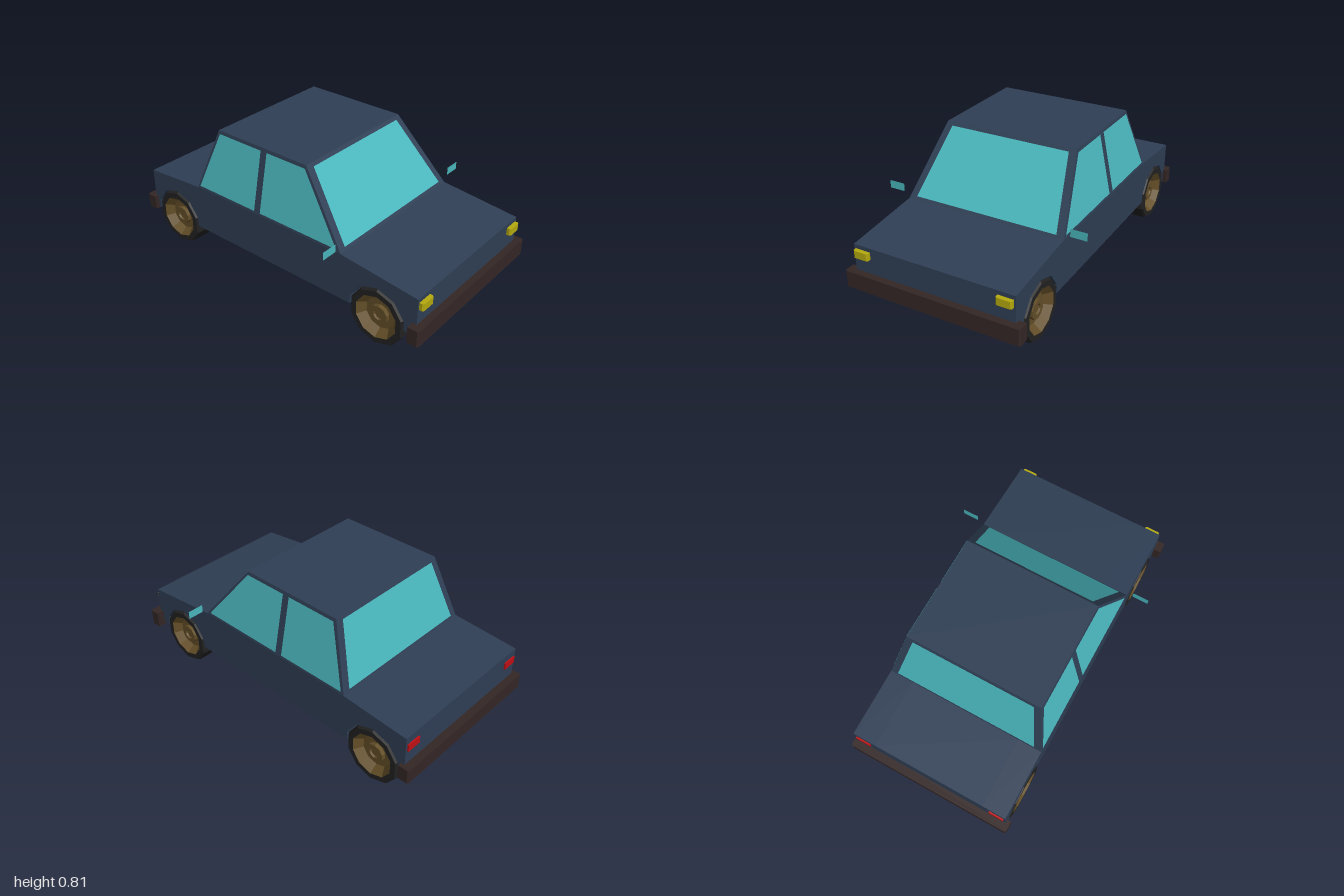
import * as THREE from 'three';

const mat = (name, color, extra = {}) => {
  const m = new THREE.MeshStandardMaterial({ color, flatShading: true, ...extra });
  m.name = name;
  return m;
};

export function createModel() {
  const car = new THREE.Group();
  car.name = 'car';
  const navy = mat('navy paint', 0x2f3f55);
  const glass = mat('teal glass', 0x4ab8be, { side: THREE.DoubleSide });
  const brown = mat('dark brown bumper', 0x342726);
  const yellow = mat('yellow lamp', 0xb5aa0e);
  const red = mat('red lamp', 0xc01015);
  const rubber = mat('black rubber', 0x222223);
  const bronze = mat('bronze rim', 0x644f28);

  const add = (name, geo, material, parent = car) => {
    const mesh = new THREE.Mesh(geo, material);
    mesh.name = name;
    parent.add(mesh);
    return mesh;
  };

  // Lower body: a side profile in (z, y), with optional wheel arches cut from below
  const AXLES = [-0.75, 0.72], AXLE_Y = 0.17;
  const bodySlice = (xMax, width, arches) => {
    const pts = [[-0.955, AXLE_Y]];
    if (arches) {
      for (const z of AXLES) {
        pts.push([z - 0.168, AXLE_Y]);
        for (const deg of [162, 126, 90, 54, 18]) {
          const a = THREE.MathUtils.degToRad(deg);
          pts.push([z + 0.175 * Math.cos(a), AXLE_Y + 0.175 * Math.sin(a)]);
        }
        pts.push([z + 0.168, AXLE_Y]);
      }
    }
    pts.push([0.96, AXLE_Y], [0.96, 0.395], [0.49, 0.445], [-0.555, 0.445], [-0.955, 0.415]);
    const shape = new THREE.Shape(pts.map(([z, y]) => new THREE.Vector2(z, y)));
    return new THREE.ExtrudeGeometry(shape, { depth: width, bevelEnabled: false })
      .rotateY(-Math.PI / 2).translate(xMax, 0, 0);
  };
  add('bodyCentre', bodySlice(0.335, 0.67, false), navy);
  add('bodyLeftSide', bodySlice(0.475, 0.14, true), navy);
  add('bodyRightSide', bodySlice(-0.335, 0.14, true), navy);

  // Cabin: a box tapered towards the roof
  const Y0 = 0.445, Y1 = 0.815;
  const at = (y, low, high) => THREE.MathUtils.lerp(low, high, (y - Y0) / (Y1 - Y0));
  const sideX = y => at(y, 0.475, 0.397);
  const frontZ = y => at(y, 0.49, 0.2);
  const backZ = y => at(y, -0.555, -0.43);
  const cabin = new THREE.BoxGeometry(1, 1, 1);
  const p = cabin.attributes.position;
  for (let i = 0; i < p.count; i++) {
    const y = p.getY(i) > 0 ? Y1 : Y0;
    p.setXYZ(i, Math.sign(p.getX(i)) * sideX(y), y, p.getZ(i) > 0 ? frontZ(y) : backZ(y));
  }
  cabin.computeVertexNormals();
  add('cabin', cabin, navy);

  // Window panes: flat quads lifted just off the cabin, corners anticlockwise from outside
  const pane = (name, corners) => {
    const v = corners.map(c => new THREE.Vector3(...c));
    const n = v[1].clone().sub(v[0]).cross(v[2].clone().sub(v[0])).normalize().multiplyScalar(0.003);
    const geo = new THREE.BufferGeometry().setFromPoints(v.map(q => q.add(n)));
    geo.setIndex([0, 1, 2, 0, 2, 3]);
    geo.computeVertexNormals();
    add(name, geo, glass);
  };
  const B = 0.46, T = 0.797;
  pane('windshield', [[-0.43, B, frontZ(B)], [0.43, B, frontZ(B)], [0.358, T, frontZ(T)], [-0.358, T, frontZ(T)]]);
  pane('rearWindow', [[0.43, B, backZ(B)], [-0.43, B, backZ(B)], [-0.358, T, backZ(T)], [0.358, T, backZ(T)]]);
  for (const s of [1, -1]) {
    const side = (name, zb0, zb1, zt1, zt0) => {
      const c = [[s * sideX(B), B, zb0], [s * sideX(B), B, zb1], [s * sideX(T), T, zt1], [s * sideX(T), T, zt0]];
      pane(name, s > 0 ? c : c.reverse());
    };
    const word = s > 0 ? 'left' : 'right';
    side(word + 'FrontWindow', 0.46, -0.068, -0.068, 0.197);
    side(word + 'RearWindow', -0.11, -0.535, -0.417, -0.11);

    // Door mirror: a thin upright plate
    add(word + 'Mirror', new THREE.PlaneGeometry(0.095, 0.046).translate(s * 0.557, 0.498, 0.485), glass);
  }

  // Bars with chamfered outer corners, used for bumpers and headlights
  const bar = (half, z0, z1, y0, y1, c) => {
    const pts = [[-half, z0], [half, z0], [half, z1 - c], [half - c, z1], [c - half, z1], [-half, z1 - c]];
    const shape = new THREE.Shape(pts.map(q => new THREE.Vector2(...q)));
    return new THREE.ExtrudeGeometry(shape, { depth: y1 - y0, bevelEnabled: false })
      .rotateX(Math.PI / 2).translate(0, y1, 0);
  };
  add('frontBumper', bar(0.518, 0.935, 1, 0.15, 0.245, 0.008), brown);
  add('rearBumper', bar(0.5, 0.935, 1, 0.16, 0.245, 0.008), brown).rotation.y = Math.PI;
  for (const s of [1, -1]) {
    add('headlight', bar(0.045, 0.95, 0.985, 0.33, 0.372, 0.008), yellow).position.x = s * 0.42;
    add('tailLight', new THREE.BoxGeometry(0.088, 0.042, 0.009).translate(s * 0.42, 0.35, -0.959), red);
  }

  // Wheels: ten-sided tyre with a stepped, dished rim
  const lathe = pts => new THREE.LatheGeometry(pts.map(q => new THREE.Vector2(...q)), 10, Math.PI / 2)
    .rotateZ(-Math.PI / 2);
  const tyre = lathe([[0, 0.335], [0.168, 0.335], [0.168, 0.468], [0.16, 0.48], [0.128, 0.48]]);
  const rim = lathe([[0.128, 0.48], [0.092, 0.435], [0.055, 0.435], [0.055, 0.458], [0.03, 0.458], [0.026, 0.448], [0, 0.448]]);
  for (const z of AXLES) {
    for (const s of [1, -1]) {
      const wheel = new THREE.Group();
      wheel.name = (z > 0 ? 'front' : 'rear') + (s > 0 ? 'Left' : 'Right') + 'Wheel';
      add('tyre', tyre, rubber, wheel);
      add('rim', rim, bronze, wheel);
      wheel.position.set(0, AXLE_Y - 0.002, z);
      if (s < 0) wheel.rotation.y = Math.PI;
      car.add(wheel);
    }
  }
  return car;
}
